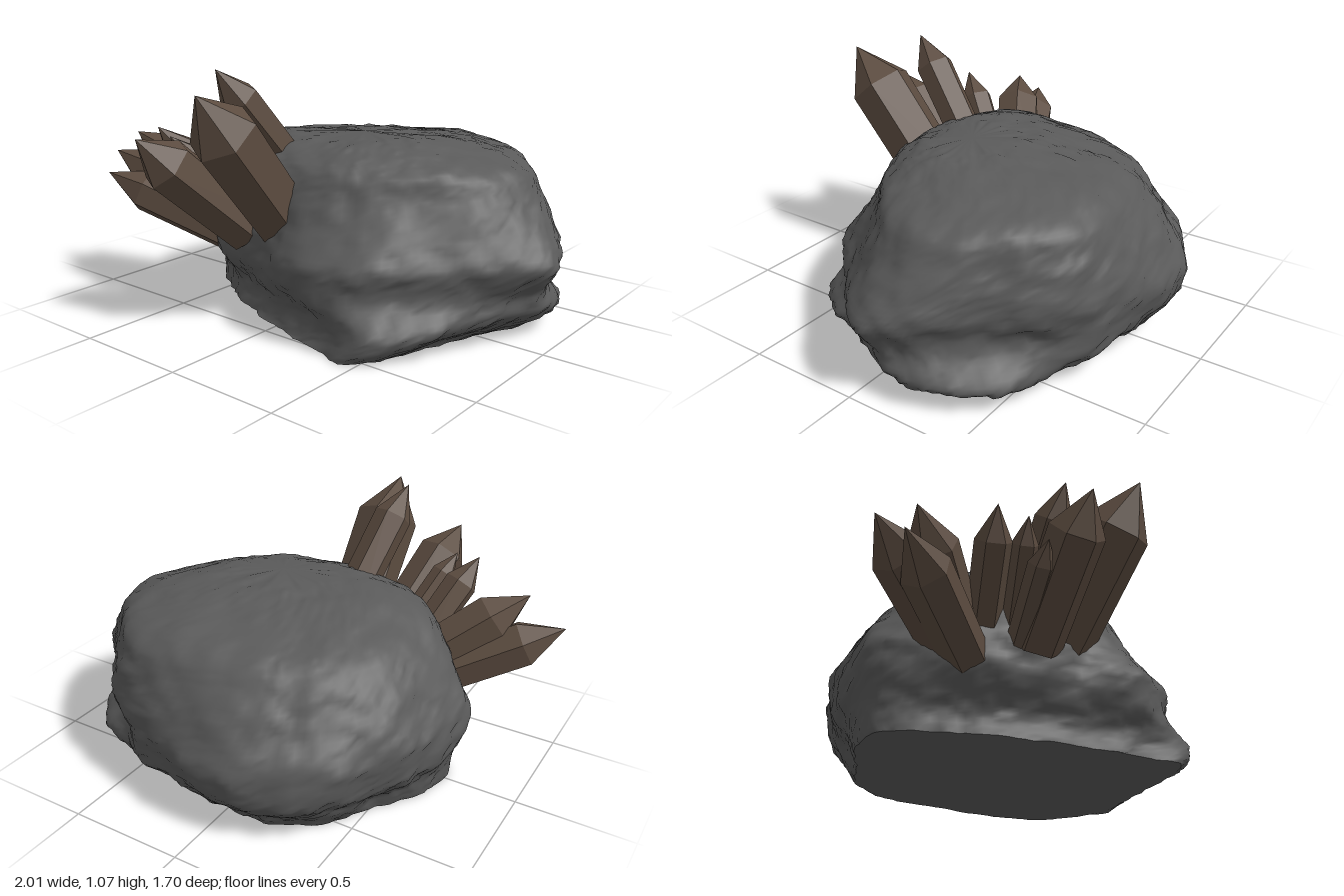
import * as THREE from 'three';

const rockMaterial = new THREE.MeshStandardMaterial({ color: 0x5a5a5a, side: THREE.DoubleSide });
const crystalMaterial = new THREE.MeshStandardMaterial({ color: 0x5c4c40, flatShading: true });

// Plan outlines of the boulder (x, z), clockwise from above: foot, widest body and crown
const FOOT = [
  [-0.15, -0.64], [0.1, -0.62], [0.28, -0.6], [0.5, -0.54], [0.65, -0.44], [0.72, -0.28], [0.73, -0.1],
  [0.68, 0.1], [0.61, 0.3], [0.53, 0.46], [0.42, 0.57], [0.24, 0.51], [0.04, 0.45], [-0.2, 0.38],
  [-0.42, 0.29], [-0.6, 0.17], [-0.67, 0.05], [-0.65, -0.1], [-0.57, -0.27], [-0.45, -0.43], [-0.3, -0.56],
];
const BODY = [
  [-0.13, -0.85], [0.15, -0.81], [0.45, -0.71], [0.65, -0.54], [0.8, -0.33], [0.92, -0.21], [1, -0.08],
  [0.94, 0.04], [0.8, 0.19], [0.64, 0.35], [0.45, 0.52], [0.22, 0.57], [0.0, 0.5], [-0.25, 0.44],
  [-0.47, 0.34], [-0.65, 0.19], [-0.76, 0.05], [-0.7, -0.2], [-0.63, -0.4], [-0.5, -0.59], [-0.32, -0.74],
];
const CROWN = [
  [-0.1, -0.6], [0.15, -0.65], [0.35, -0.66], [0.51, -0.59], [0.64, -0.47], [0.73, -0.34], [0.76, -0.2],
  [0.73, -0.05], [0.65, 0.08], [0.51, 0.21], [0.35, 0.32], [0.2, 0.39], [0.0, 0.41], [-0.18, 0.4],
  [-0.34, 0.33], [-0.46, 0.21], [-0.51, 0.05], [-0.49, -0.16], [-0.44, -0.31], [-0.36, -0.44], [-0.24, -0.54],
];

// Extents of each height: y, left, right, back, front
const LEVELS = [
  [0, -0.67, 0.73, -0.64, 0.56],
  [0.1, -0.7, 0.93, -0.76, 0.55],
  [0.2, -0.74, 0.95, -0.83, 0.55],
  [0.33, -0.76, 1.01, -0.84, 0.54],
  [0.45, -0.69, 0.93, -0.79, 0.48],
  [0.57, -0.6, 0.83, -0.72, 0.44],
  [0.66, -0.5, 0.76, -0.66, 0.41],
  [0.72, -0.37, 0.61, -0.52, 0.36],
  [0.76, -0.21, 0.46, -0.27, 0.28],
  [0.78, -0.05, 0.34, -0.11, 0.17],
];

// Smooth lumpy field used to weather the stone
function lumps(x, y, z) {
  let sum = 0, amp = 1, f = 5;
  for (let k = 0; k < 4; k++) {
    const wx = x + 0.12 * Math.sin(f * z + k);
    const wy = y + 0.12 * Math.sin(f * x + 3 * k);
    const wz = z + 0.12 * Math.sin(f * y + 2 * k);
    sum += amp * Math.sin(f * wx + 1.3 * k) * Math.cos(f * wy + k) * Math.sin(f * wz + 0.7 + k);
    amp *= 0.62;
    f *= 1.85;
  }
  return sum;
}

// Closed smooth outline with its bounding box scaled to 0..1
function outline(pts, count) {
  const curve = new THREE.CatmullRomCurve3(pts.map(([x, z]) => new THREE.Vector3(x, 0, z)), true, 'catmullrom');
  const points = curve.getPoints(count);
  const box = new THREE.Box3().setFromPoints(points);
  const size = box.getSize(new THREE.Vector3()).setY(1);
  return points.map(p => p.sub(box.min).divide(size));
}

function createRock() {
  const N = 144, M = 60;
  const foot = outline(FOOT, N), body = outline(BODY, N), crown = outline(CROWN, N);
  const widths = new THREE.CatmullRomCurve3(LEVELS.map(l => new THREE.Vector3(l[0], l[1], l[2])), false, 'catmullrom');
  const depths = new THREE.CatmullRomCurve3(LEVELS.map(l => new THREE.Vector3(l[0], l[3], l[4])), false, 'catmullrom');
  const pos = [], index = [], centre = new THREE.Vector3(0.1, 0.35, -0.1);

  for (let j = 0; j <= M; j++) {
    const w = widths.getPoint(j / M), d = depths.getPoint(j / M);
    const toBody = THREE.MathUtils.smoothstep(w.x, 0, 0.28);
    const toCrown = 0.9 * THREE.MathUtils.smoothstep(w.x, 0.28, 0.66);
    for (let i = 0; i < N; i++) {
      const o = foot[i].clone().lerp(body[i], toBody).lerp(crown[i], toCrown);
      const p = new THREE.Vector3(THREE.MathUtils.lerp(w.y, w.z, o.x), w.x, THREE.MathUtils.lerp(d.y, d.z, o.z));
      const out = p.clone().sub(centre).normalize();
      p.addScaledVector(out, lumps(p.x, p.y, p.z) * THREE.MathUtils.lerp(0.032, 0.016, toCrown));
      p.y = j === 0 ? 0 : Math.max(p.y, 0.002);
      pos.push(p.x, p.y, p.z);
    }
  }
  for (let j = 0; j < M; j++) for (let i = 0; i < N; i++) {
    const a = j * N + i, b = j * N + (i + 1) % N;
    index.push(a, a + N, b, b, a + N, b + N);
  }
  // Crown closing the last ring
  const top = pos.length / 3;
  pos.push(0.15, 0.787, 0.03);
  for (let i = 0; i < N; i++) index.push(M * N + i, top, M * N + (i + 1) % N);

  const geo = new THREE.BufferGeometry();
  geo.setAttribute('position', new THREE.Float32BufferAttribute(pos, 3));
  geo.setIndex(index);
  geo.computeVertexNormals();
  const rock = new THREE.Mesh(geo, rockMaterial);
  rock.name = 'boulder';

  // Flat underside, kept separate for a hard edge
  const rim = [];
  for (let i = 0; i < N; i++) rim.push(new THREE.Vector2(pos[i * 3], pos[i * 3 + 2]));
  const underside = new THREE.Mesh(new THREE.ShapeGeometry(new THREE.Shape(rim)).rotateX(Math.PI / 2), rockMaterial);
  underside.name = 'underside';
  return [rock, underside];
}

// Six-sided prism with a pointed end, running from root to tip
function createCrystal(root, tip, radius, point) {
  const a = new THREE.Vector3(...root), b = new THREE.Vector3(...tip);
  const len = a.distanceTo(b);
  const profile = [[0, 0], [radius * 0.95, 0], [radius, len - point], [0, len]].map(p => new THREE.Vector2(...p));
  const crystal = new THREE.Mesh(new THREE.LatheGeometry(profile, 6), crystalMaterial);
  crystal.position.copy(a);
  crystal.quaternion.setFromUnitVectors(new THREE.Vector3(0, 1, 0), b.sub(a).normalize());
  return crystal;
}

// Root, tip, radius, length of the point
const CRYSTALS = [
  [[-0.03, 0.42, 0.33], [-0.02, 1.01, 0.82], 0.142, 0.21],
  [[-0.09, 0.62, 0.21], [-0.18, 1.07, 0.565], 0.085, 0.16],
  [[-0.2, 0.38, 0.39], [-0.335, 0.815, 0.85], 0.115, 0.17],
  [[-0.28, 0.37, 0.38], [-0.41, 0.64, 0.69], 0.055, 0.1],
  [[-0.27, 0.42, 0.33], [-0.425, 0.78, 0.6], 0.055, 0.11],
  [[-0.37, 0.4, 0.26], [-0.545, 0.8, 0.56], 0.075, 0.14],
  [[-0.43, 0.41, 0.2], [-0.83, 0.73, 0.44], 0.11, 0.18],
  [[-0.44, 0.32, 0.19], [-1.0, 0.62, 0.43], 0.105, 0.18],
  [[-0.45, 0.3, 0.27], [-0.94, 0.54, 0.53], 0.1, 0.19],
];

export function createModel() {
  const model = new THREE.Group();
  model.name = 'crystalBoulder';
  model.add(...createRock());

  const cluster = new THREE.Group();
  cluster.name = 'crystalCluster';
  CRYSTALS.forEach((c, i) => {
    const crystal = createCrystal(...c);
    crystal.name = `crystal${i + 1}`;
    cluster.add(crystal);
  });
  model.add(cluster);
  return model;
}
